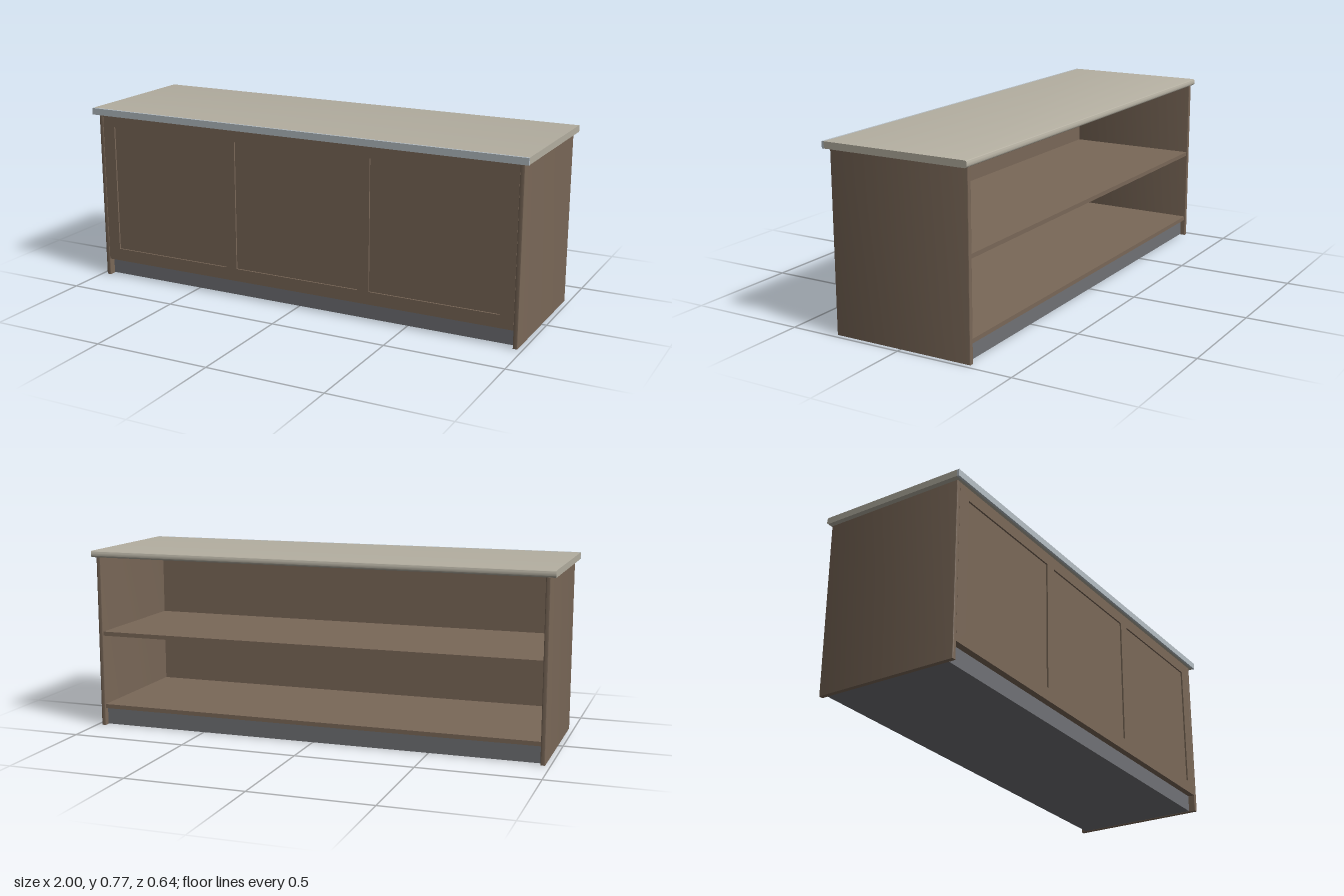
import * as THREE from 'three';
import { toCreasedNormals } from 'three/addons/utils/BufferGeometryUtils.js';

const mat = (name, color) => {
  const m = new THREE.MeshStandardMaterial({ color });
  m.name = name;
  return m;
};

export function createModel() {
  const wood = mat('brown wood', 0x7a6858);
  const stone = mat('beige worktop', 0xb3aea0);
  const plinthGrey = mat('plinth grey', 0x707175);
  const metal = mat('pale metal', 0xb6bfc5);

  const root = new THREE.Group();
  root.name = 'counter';
  const add = (name, geometry, material) => {
    const mesh = new THREE.Mesh(geometry, material);
    mesh.name = name;
    root.add(mesh);
    return mesh;
  };
  // box given by its extents on each axis
  const box = (name, material, [x0, x1], [y0, y1], [z0, z1]) =>
    add(name, new THREE.BoxGeometry(x1 - x0, y1 - y0, z1 - z0), material)
      .position.set((x0 + x1) / 2, (y0 + y1) / 2, (z0 + z1) / 2);
  // closed rectangle path
  const rect = (path, x0, x1, y0, y1) => {
    path.moveTo(x0, y0);
    path.lineTo(x1, y0);
    path.lineTo(x1, y1);
    path.lineTo(x0, y1);
    path.closePath();
    return path;
  };

  // upright end panels with slightly eased vertical edges
  for (const side of [1, -1]) {
    const r = 0.003, z0 = -0.313, z1 = 0.301;
    const s = new THREE.Shape();
    const [a, b] = [0.96, 0.979];
    s.moveTo(a + r, -z1);
    s.lineTo(b - r, -z1);
    s.quadraticCurveTo(b, -z1, b, -z1 + r);
    s.lineTo(b, -z0 - r);
    s.quadraticCurveTo(b, -z0, b - r, -z0);
    s.lineTo(a + r, -z0);
    s.quadraticCurveTo(a, -z0, a, -z0 - r);
    s.lineTo(a, -z1 + r);
    s.quadraticCurveTo(a, -z1, a + r, -z1);
    const g = new THREE.ExtrudeGeometry(s, { depth: 0.742, bevelEnabled: false, curveSegments: 3 });
    g.rotateX(-Math.PI / 2);
    if (side < 0) g.translate(-(a + b), 0, 0);
    add(side > 0 ? 'leftEndPanel' : 'rightEndPanel', toCreasedNormals(g, 0.7), wood);
  }

  // front frame with three openings
  const frame = rect(new THREE.Shape(), -0.96, 0.96, 0.075, 0.742);
  for (const [x0, x1] of [[-0.903, -0.34], [-0.289, 0.287], [0.338, 0.901]])
    frame.holes.push(rect(new THREE.Path(), x0, x1, 0.13, 0.69));
  const frameGeo = new THREE.ExtrudeGeometry(frame, { depth: 0.008, bevelEnabled: false });
  frameGeo.translate(0, 0, 0.292);
  add('frontFrame', frameGeo, wood);
  box('frontPanels', wood, [-0.96, 0.96], [0.075, 0.742], [0.28, 0.293]);

  // shelves open to the back
  for (const [name, y] of [['bottomShelf', 0.076], ['middleShelf', 0.4]])
    box(name, wood, [-0.96, 0.96], [y, y + 0.018], [-0.308, 0.28]);

  // recessed plinth
  box('plinth', plinthGrey, [-0.96, 0.96], [0.002, 0.076], [-0.29, 0.27]);

  // worktop with a rounded back edge: side profile swept along x
  const y0 = 0.743, y1 = 0.771, zb = -0.322, zf = 0.312, r = 0.009;
  const top = new THREE.Shape();
  top.moveTo(-zf, y0);
  top.lineTo(-zb - r, y0);
  top.absarc(-zb - r, y0 + r, r, -Math.PI / 2, 0);
  top.absarc(-zb - r, y1 - r, r, 0, Math.PI / 2);
  top.lineTo(-zf, y1);
  top.closePath();
  const topGeo = new THREE.ExtrudeGeometry(top, { depth: 2, bevelEnabled: false, curveSegments: 6 });
  topGeo.rotateY(Math.PI / 2);
  topGeo.translate(-1, 0, 0);
  add('worktop', toCreasedNormals(topGeo, 0.7), stone);

  // metal trim on the front edge
  box('frontTrim', metal, [-1, 1], [y0 - 0.001, y1], [zf, 0.322]);

  return root;
}
